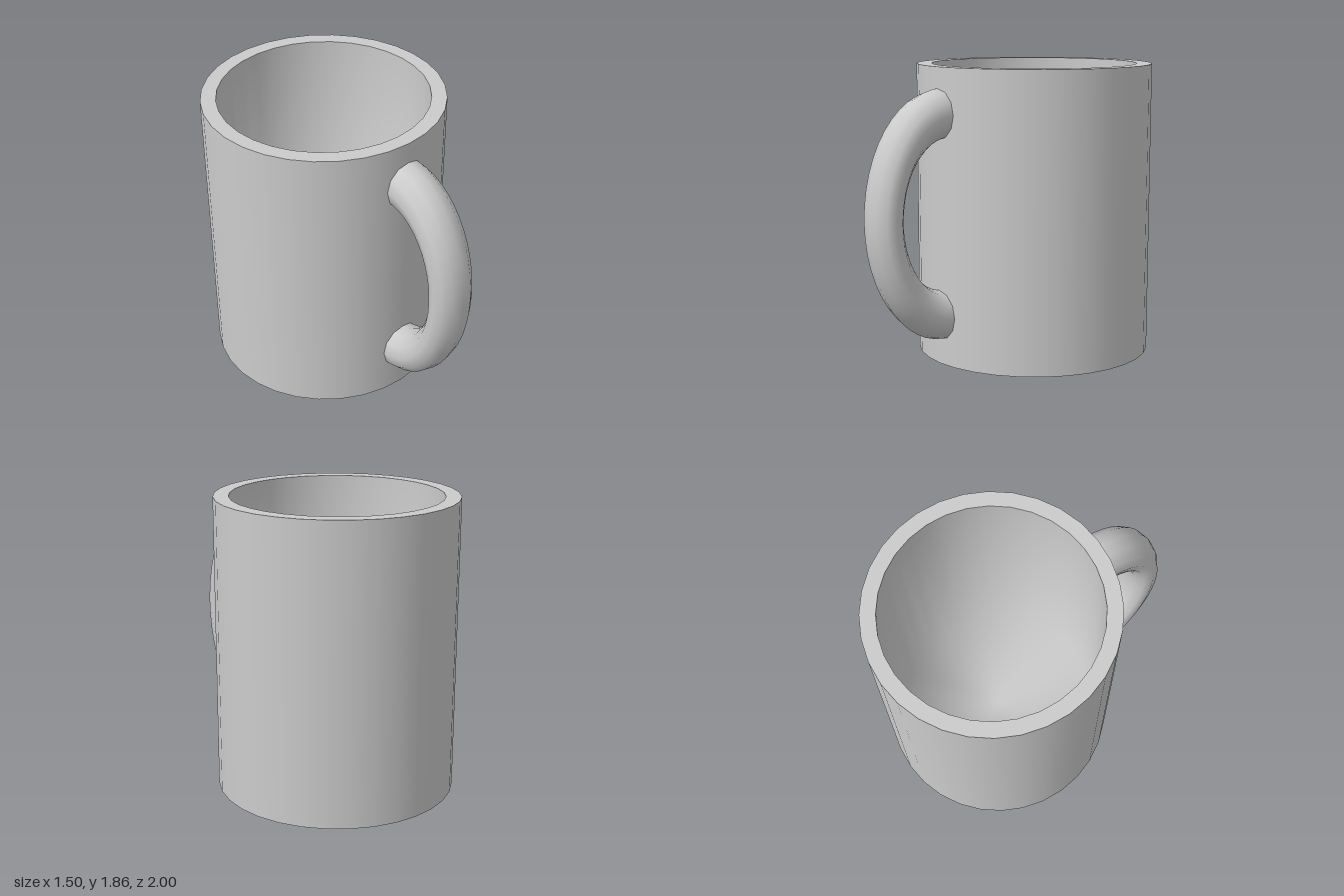
import * as THREE from 'three';

const HEIGHT = 1.855, OUTER = 0.75, INNER = 0.655, FLOOR = 0.1, SIDES = 32;

export function createModel() {
  const mug = new THREE.Group();
  mug.name = 'mug';
  const material = new THREE.MeshStandardMaterial({ color: 0xcccccc });

  // Round body: one lathe per surface keeps the edges between them sharp
  const body = new THREE.Group();
  body.name = 'body';
  body.position.z = -0.25;
  mug.add(body);
  const turned = (name, profile) => {
    const points = profile.map(([r, y]) => new THREE.Vector2(r, y));
    const mesh = new THREE.Mesh(new THREE.LatheGeometry(points, SIDES), material);
    mesh.name = name;
    body.add(mesh);
  };
  turned('base', [[0, 0], [OUTER, 0]]);
  turned('outerWall', [[OUTER, 0], [OUTER, HEIGHT]]);
  turned('rim', [[OUTER, HEIGHT], [INNER, HEIGHT]]);
  // Inner wall blends softly into the floor
  turned('interior', [[INNER, HEIGHT], [INNER, FLOOR], [0, FLOOR]]);

  // Handle: half torus, squashed in depth, its ends buried in the wall
  const half = new THREE.TorusGeometry(0.63, 0.157, 12, 24, Math.PI);
  half.rotateZ(-Math.PI / 2).rotateY(-Math.PI / 2).scale(0.945, 1, 0.682);
  const handle = new THREE.Mesh(half, material);
  handle.name = 'handle';
  handle.position.set(0, 0.94, 0.463);
  mug.add(handle);

  return mug;
}
